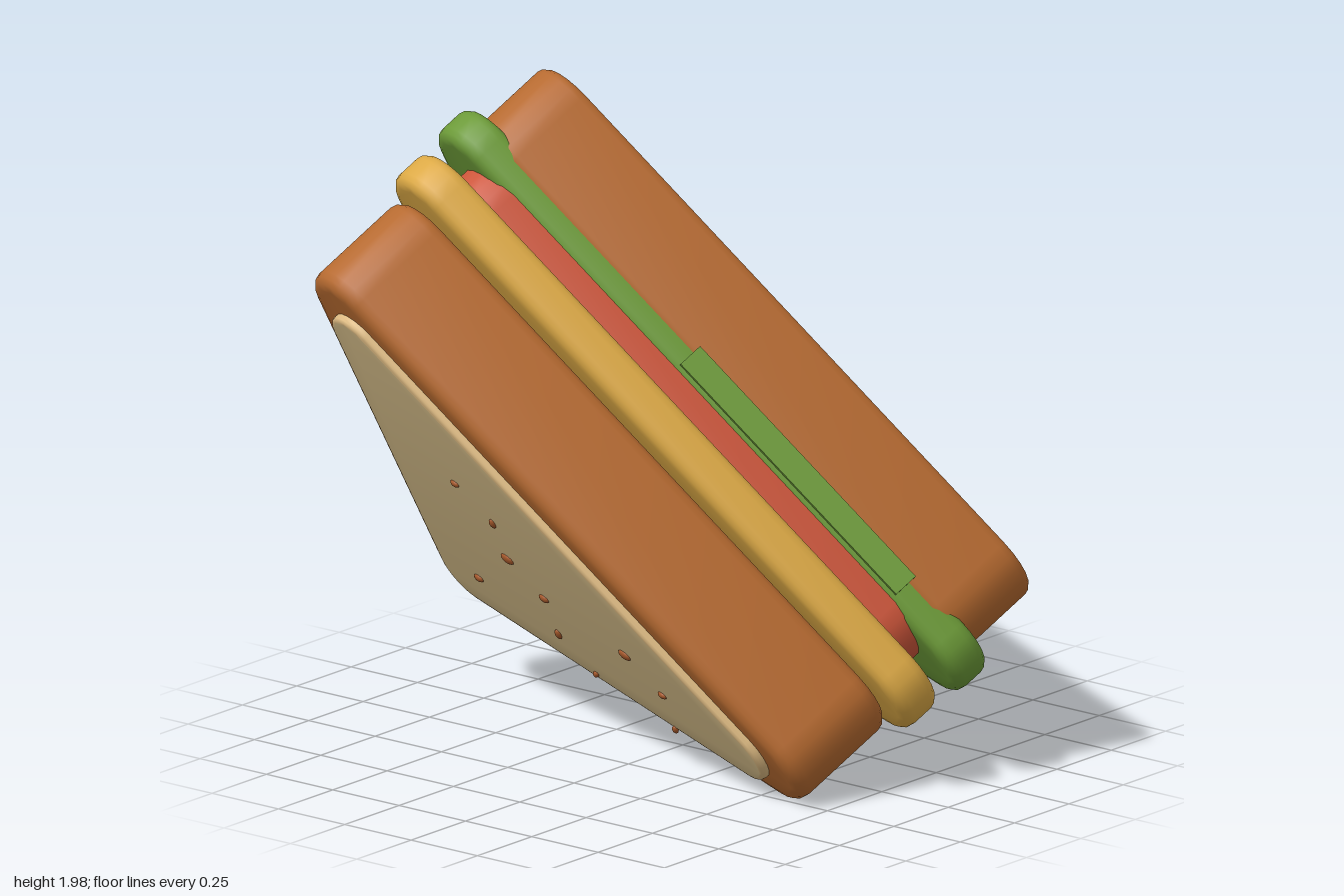
import * as THREE from 'three';
import { toCreasedNormals } from 'three/addons/utils/BufferGeometryUtils.js';

const material = (name, color) => {
  const m = new THREE.MeshStandardMaterial({ color });
  m.name = name;
  return m;
};

// Sides of the triangular cut: outward normal and distance from the origin
const SIDES = [
  { n: new THREE.Vector2(0, -1), d: -0.16 },                       // lower side
  { n: new THREE.Vector2(0.905, 1).normalize(), d: 0.7526 },       // long diagonal side
  { n: new THREE.Vector2(-1, 0.061).normalize(), d: 1.009 },       // upright side
];

// Rounded triangle; offsets push each side outwards
function roundedTriangle(offsets, radius) {
  const points = [];
  for (let i = 0; i < 3; i++) {
    const j = (i + 1) % 3;
    const a = SIDES[i].n, b = SIDES[j].n;
    const da = SIDES[i].d + offsets[i] - radius;
    const db = SIDES[j].d + offsets[j] - radius;
    const det = a.x * b.y - a.y * b.x;
    const cx = (da * b.y - db * a.y) / det;
    const cy = (a.x * db - b.x * da) / det;
    const start = Math.atan2(a.y, a.x);
    let sweep = Math.atan2(b.y, b.x) - start;
    if (sweep < 0) sweep += Math.PI * 2;
    for (let k = 0; k <= 8; k++) {
      const t = start + (sweep * k) / 8;
      points.push(new THREE.Vector2(cx + radius * Math.cos(t), cy + radius * Math.sin(t)));
    }
  }
  return new THREE.Shape(points);
}

// Bevelled slab reaching from w0 to w1 along the stacking axis
function layer(name, mat, w0, w1, offsets, radius, bevel) {
  const geometry = new THREE.ExtrudeGeometry(roundedTriangle(offsets, radius), {
    depth: w1 - w0 - 2 * bevel,
    bevelThickness: bevel, bevelSize: bevel, bevelOffset: -bevel, bevelSegments: 3,
  });
  geometry.translate(0, 0, w0 + bevel);
  const mesh = new THREE.Mesh(toCreasedNormals(geometry, 0.6), mat);
  mesh.name = name;
  return mesh;
}

export function createModel() {
  const crust = material('crust brown', 0xb66a30);
  const crumb = material('crumb cream', 0xdac18c);
  const rim = material('crumb edge tan', 0xdcb981);
  const cheese = material('cheese yellow', 0xdca945);
  const tomato = material('tomato red', 0xcc553a);
  const lettuce = material('lettuce green', 0x6c9a38);
  const seedBrown = material('seed brown', 0xa85a2c);

  const sandwich = new THREE.Group();
  sandwich.name = 'sandwich';

  // Bread, fillings and the cream face, from back to front
  sandwich.add(
    layer('backBread', crust, -0.945, -0.63, [0, 0, 0], 0.15, 0.03),
    layer('lettuce', lettuce, -0.69, -0.56, [0.045, -0.004, 0.045], 0.14, 0.035),
    layer('tomato', tomato, -0.61, -0.47, [-0.05, -0.01, -0.05], 0.15, 0.015),
    layer('cheese', cheese, -0.5, -0.365, [0.02, 0.025, 0.025], 0.15, 0.035),
    layer('frontBread', crust, -0.35, 0.012, [0, 0, 0], 0.15, 0.04),
    layer('crumbFace', [crumb, rim], -0.03, 0.037, [-0.065, -0.08, -0.08], 0.11, 0.015),
  );

  // Lettuce fold lying over the lower half of the diagonal
  const fold = new THREE.Mesh(new THREE.BoxGeometry(0.92, 0.05, 0.08), lettuce);
  fold.name = 'lettuceFold';
  const inward = SIDES[1].n.clone().multiplyScalar(-0.017);
  fold.position.set(0.24 + inward.x, 0.798 + inward.y, -0.63);
  fold.rotation.z = Math.atan2(-0.905, 1);
  sandwich.add(fold);

  // Tilt of the whole stack: n is the stacking axis, u runs along the lower side
  const n = new THREE.Vector3(-0.268, -0.551, 0.79).normalize();
  const u = new THREE.Vector3(0.962, -0.2, 0.187).addScaledVector(n, -0.0).normalize();
  u.addScaledVector(n, -u.dot(n)).normalize();
  const v = new THREE.Vector3().crossVectors(n, u);

  // Seeds scattered over the cream face: front x, front y, size, turn
  const seeds = [
    [-0.47, 0.84, 0.018, 0], [-0.36, 0.73, 0.02, 1.4], [-0.395, 0.59, 0.029, 0.1],
    [-0.29, 0.48, 0.022, 0.1], [-0.665, 0.435, 0.021, 0.1], [-0.325, 0.34, 0.022, 1.3],
    [-0.215, 0.23, 0.016, 0.8], [0.055, 0.385, 0.027, 0], [0.165, 0.275, 0.018, 0],
    [0.125, 0.138, 0.017, 1.2],
  ];
  const seedGeometry = new THREE.SphereGeometry(1, 10, 6);
  for (const [x, y, size, turn] of seeds) {
    const p = new THREE.Vector3(x, y, (0.038 - n.x * x - n.y * y) / n.z);
    const seed = new THREE.Mesh(seedGeometry, seedBrown);
    seed.name = 'seed';
    seed.position.set(p.dot(u), p.dot(v), 0.038);
    seed.rotation.z = turn;
    seed.scale.set(size, size * 0.65, 0.009);
    sandwich.add(seed);
  }

  sandwich.quaternion.setFromRotationMatrix(new THREE.Matrix4().makeBasis(u, v, n));
  const model = new THREE.Group();
  model.name = 'sandwichModel';
  model.add(sandwich);
  return model;
}
